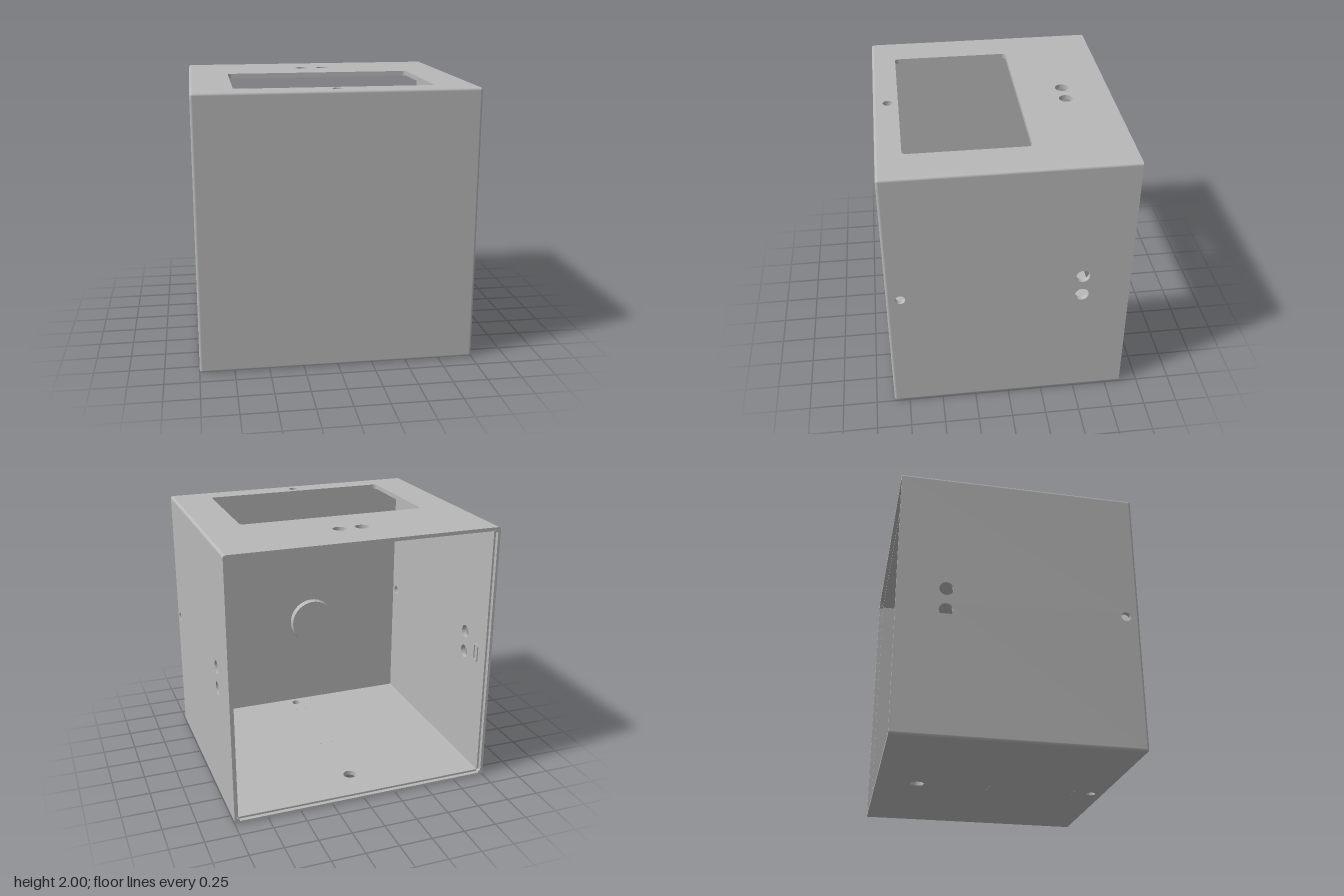
import * as THREE from 'three';

const T = 0.035, R = 0.02, D = 0.865, BACK = -0.835; // wall, edge radius, half depth, start of rebate
const grey = new THREE.MeshStandardMaterial({ color: 0xb8b8b8 });
grey.name = 'light grey';

function roundRect(path, x0, y0, x1, y1, r) {
  path.absarc(x1 - r, y0 + r, r, -Math.PI / 2, 0);
  path.absarc(x1 - r, y1 - r, r, 0, Math.PI / 2);
  path.absarc(x0 + r, y1 - r, r, Math.PI / 2, Math.PI);
  path.absarc(x0 + r, y0 + r, r, Math.PI, Math.PI * 1.5);
  path.closePath();
  return path;
}

const circle = ([x, y, r]) => new THREE.Path().absarc(x, y, r, 0, Math.PI * 2, true);

// flat sheet in the xy plane with holes, thickness towards +z
function sheet(x0, y0, x1, y1, holes, depth = T) {
  const shape = new THREE.Shape([[x0, y0], [x1, y0], [x1, y1], [x0, y1]].map((p) => new THREE.Vector2(...p)));
  shape.holes.push(...holes);
  return new THREE.ExtrudeGeometry(shape, { depth, bevelEnabled: false, curveSegments: 16 });
}

export function createModel() {
  const model = new THREE.Group();
  const add = (name, geometry, x = 0, y = 0, z = 0) => {
    const mesh = new THREE.Mesh(geometry, grey);
    mesh.name = name;
    mesh.position.set(x, y, z);
    model.add(mesh);
    return mesh;
  };
  const F = D - R, W = 1 - R;

  // front wall
  add('frontWall', sheet(-W, R, W, 2 - R, []), 0, 0, D - T);

  // top with window, two cable holes and a small hole (sheet y is -z)
  const topHoles = [[-0.085, 0.525, 0.05], [0.082, 0.525, 0.05], [0, -0.76, 0.035]].map(circle);
  topHoles.push(roundRect(new THREE.Path(), -0.705, -0.685, 0.705, 0.185, 0.03));
  add('topWall', sheet(-W, -F, W, -BACK, topHoles).rotateX(-Math.PI / 2), 0, 2 - T);

  // floor with cable hole, small hole and pin holes
  const floorHoles = [[0, 0.565, 0.05], [0, -0.76, 0.035]];
  for (const x of [-0.045, 0.045]) for (const y of [0.035, -0.62]) floorHoles.push([x, y, 0.005]);
  add('floor', sheet(-W, -F, W, -BACK, floorHoles.map(circle)).rotateX(-Math.PI / 2));

  // side walls (sheet x is -z)
  for (const [name, x] of [['leftWall', 1 - T], ['rightWall', -1]]) {
    const holes = [[0.52, 1.085, 0.05], [0.52, 0.92, 0.05], [-0.765, 1, 0.035]].map(circle);
    add(name, sheet(-F, R, -BACK, 2 - R, holes).rotateY(Math.PI / 2), x);
  }

  // thinner lip around the open back
  const lip = D + BACK, lipZ = BACK - lip / 2;
  for (const s of [-1, 1]) {
    add('backLip', new THREE.BoxGeometry(2 * W, R, lip), 0, 1 + s * (1 - R / 2), lipZ);
    add('backLip', new THREE.BoxGeometry(R, 2 * W, lip), s * (1 - R / 2), 1, lipZ);
  }

  // rounded outer edges and front corners
  const rod = (length) => new THREE.CylinderGeometry(R, R, length, 24);
  for (const s of [-1, 1]) {
    add('frontEdge', rod(2 * W).rotateZ(Math.PI / 2), 0, 1 + s * W, F);
    add('frontEdge', rod(2 * W), s * W, 1, F);
    for (const v of [-1, 1]) {
      add('longEdge', rod(F + D).rotateX(Math.PI / 2), s * W, 1 + v * W, (F - D) / 2);
      add('frontCorner', new THREE.SphereGeometry(R, 24, 16), s * W, 1 + v * W, F);
    }
  }

  // slotted trim inside the right wall
  const slot = roundRect(new THREE.Shape(), -0.032, -0.075, 0.032, 0.075, 0.031);
  slot.holes.push(roundRect(new THREE.Path(), -0.017, -0.06, 0.017, 0.06, 0.016));
  add('slotTrim', new THREE.ExtrudeGeometry(slot, { depth: 0.009, bevelEnabled: false }).rotateY(Math.PI / 2), -1 + T, 0.98, -0.7);

  // tapered disc in the middle of the box
  add('disc', new THREE.CylinderGeometry(0.18, 0.174, 0.045, 64).rotateX(Math.PI / 2), 0, 1, 0.298);

  return model;
}
